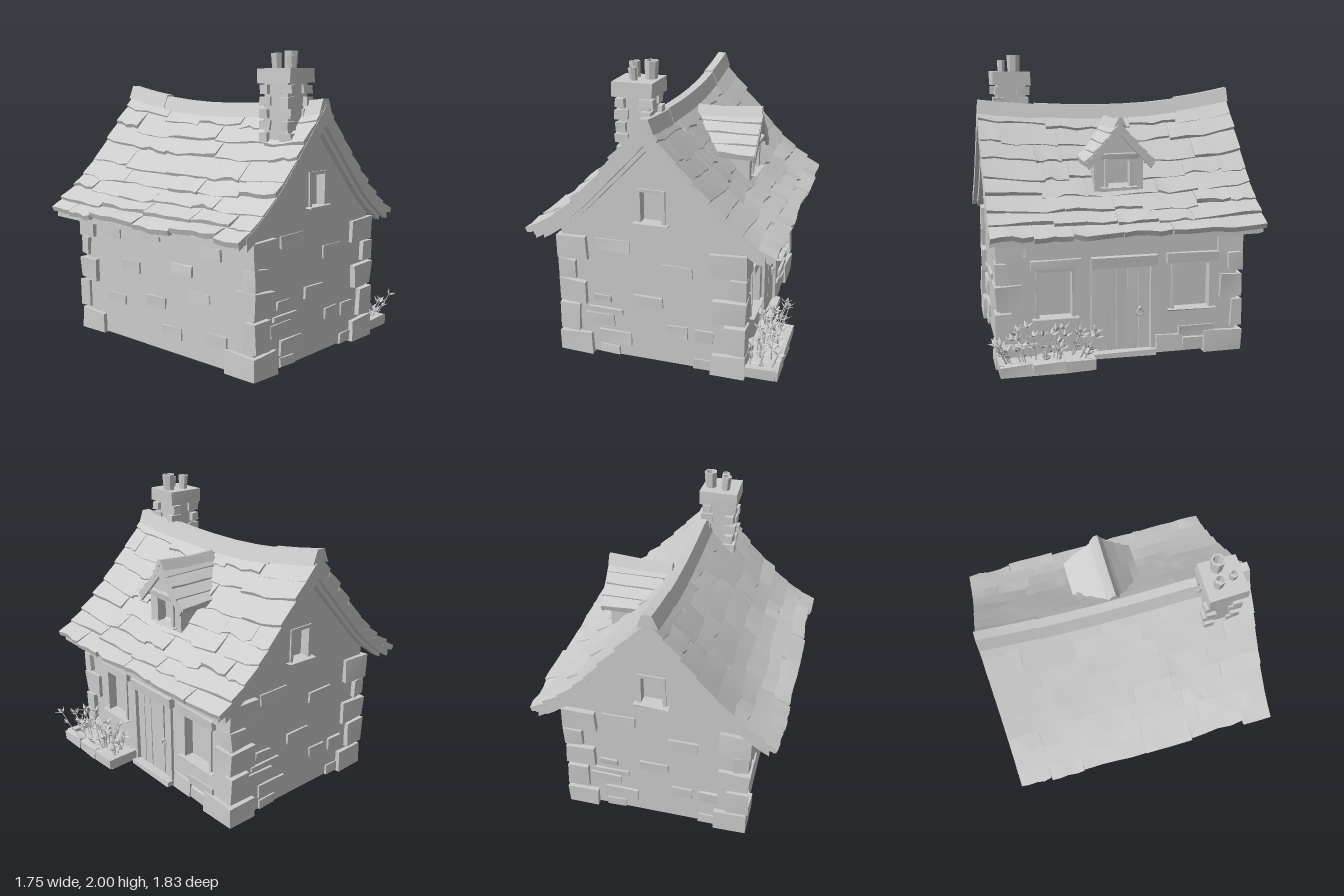
import * as THREE from 'three';
import { toCreasedNormals } from 'three/addons/utils/BufferGeometryUtils.js';

const stone = new THREE.MeshStandardMaterial({ color: 0xcccccc });
stone.name = 'pale grey';
const CX = -0.035, LEFT = -0.645, RIGHT = 0.575, FRONT = 0.8; // ridge line and wall planes

export function createModel() {
  const house = new THREE.Group();
  house.name = 'cottage';
  let seed = 7;
  const rnd = (a = 0, b = 1) => {
    seed = (seed * 16807) % 2147483647;
    return a + (b - a) * (seed / 2147483647);
  };
  const add = (geo, name, parent = house) => {
    const m = new THREE.Mesh(geo, stone);
    m.name = name;
    parent.add(m);
    return m;
  };
  const group = (name, parent = house) => {
    const g = new THREE.Group();
    g.name = name;
    parent.add(g);
    return g;
  };

  // Box given by its limits, corners nudged by j for a hand-cut look
  const block = (name, x0, x1, y0, y1, z0, z1, j = 0, parent = house) => {
    const g = new THREE.BoxGeometry(x1 - x0, y1 - y0, z1 - z0);
    g.translate((x0 + x1) / 2, (y0 + y1) / 2, (z0 + z1) / 2);
    const p = g.attributes.position, moved = {};
    for (let i = 0; i < p.count; i++) {
      const k = [p.getX(i), p.getY(i), p.getZ(i)].map(v => v.toFixed(4)).join();
      moved[k] ??= [rnd(-j, j), rnd(-j, j), rnd(-j, j)];
      const d = moved[k];
      p.setXYZ(i, p.getX(i) + d[0], Math.max(0, p.getY(i) + d[1]), p.getZ(i) + d[2]);
    }
    return add(toCreasedNormals(g.toNonIndexed(), 0.3), name, parent);
  };

  // Closed cross-sections [z, [[x, y], ...]] joined along rising z
  const loft = (stations) => {
    const flip = THREE.ShapeUtils.area(stations[0][1].map(q => new THREE.Vector2(...q))) < 0;
    const rings = stations.map(([z, pts]) => {
      const r = pts.map(q => [q[0], q[1], z]);
      return flip ? r.reverse() : r;
    });
    const n = rings[0].length, out = [];
    for (let s = 0; s < rings.length - 1; s++) for (let i = 0; i < n; i++) {
      const a = rings[s][i], b = rings[s][(i + 1) % n], c = rings[s + 1][(i + 1) % n], d = rings[s + 1][i];
      out.push(...a, ...b, ...c, ...a, ...c, ...d);
    }
    const last = rings[rings.length - 1];
    for (const [a, b, c] of THREE.ShapeUtils.triangulateShape(rings[0].map(q => new THREE.Vector2(q[0], q[1])), [])) {
      out.push(...rings[0][c], ...rings[0][b], ...rings[0][a], ...last[a], ...last[b], ...last[c]);
    }
    const g = new THREE.BufferGeometry();
    g.setAttribute('position', new THREE.Float32BufferAttribute(out, 3));
    return toCreasedNormals(g, 0.6);
  };

  // Swept roof curve: height against distance from the ridge, sagging along z
  const curve = [[0, 1.64], [0.1, 1.53], [0.2, 1.42], [0.3, 1.31], [0.42, 1.18], [0.54, 1.07], [0.68, 0.965], [0.83, 0.88]];
  const sag = z => -0.03 + (z < 0 ? 0.1 * (z / 0.92) ** 2 : 0.05 * (z / 0.87) ** 2);
  const roofY = (u, z) => {
    let i = 0;
    while (i < curve.length - 2 && u > curve[i + 1][0]) i++;
    const [a, b] = [curve[i], curve[i + 1]];
    return a[1] + (b[1] - a[1]) * (u - a[0]) / (b[0] - a[0]) + sag(z) * (1 - 0.9 * u / 0.83);
  };
  const arch = (uMax, top, bottom, z) => {
    const us = [];
    for (let i = -16; i <= 16; i++) us.push(i / 16 * uMax);
    const line = off => us.map(u => [CX + u, roofY(Math.abs(u), z) + off * (1 - 0.35 * Math.abs(u) / 0.83)]);
    return [z, [...line(top), ...line(bottom).reverse()]];
  };

  // Walls
  const rect = (x0, x1, y0, y1) => new THREE.Path([[x0, y0], [x1, y0], [x1, y1], [x0, y1]].map(q => new THREE.Vector2(...q)));
  const gable = new THREE.Shape();
  gable.moveTo(LEFT, 0.02).lineTo(RIGHT, 0.02);
  for (let i = 10; i >= -10; i--) gable.lineTo(CX + i * 0.061, roofY(Math.abs(i * 0.061), 0.8) - 0.045);
  gable.closePath();
  gable.holes.push(rect(-0.11, 0.075, 1.0, 1.23));
  for (const z of [-FRONT, FRONT - 0.08]) {
    const g = new THREE.ExtrudeGeometry(gable, { depth: 0.08, bevelEnabled: false });
    add(g.translate(0, 0, z), 'gableWall');
  }
  const side = new THREE.Shape([[-0.79, 0.02], [0.79, 0.02], [0.79, 0.96], [-0.79, 0.96]].map(q => new THREE.Vector2(...q)));
  side.holes.push(rect(-0.57, -0.32, 0.31, 0.64), rect(0.34, 0.62, 0.31, 0.64), rect(-0.2, 0.21, 0.05, 0.64));
  add(new THREE.ExtrudeGeometry(side, { depth: 0.08, bevelEnabled: false }).rotateY(Math.PI / 2).translate(RIGHT - 0.08, 0, 0), 'doorWall');
  block('plainWall', LEFT, LEFT + 0.08, 0.02, 0.96, -0.79, 0.79);
  block('floor', LEFT, RIGHT, 0.015, 0.03, -FRONT, FRONT);

  // Roof deck, edge boards and shingles
  const roof = group('roof');
  const zs = [-0.89, -0.7, -0.45, -0.2, 0, 0.25, 0.5, 0.7, 0.84];
  add(loft(zs.map(z => arch(0.79, -0.03, -0.1, z))), 'roofDeck', roof);
  for (const s of [-1, 1]) {
    const e = s > 0 ? 0.86 : -0.905;
    add(loft([arch(0.76, -0.01, -0.13, e - 0.015), arch(0.76, -0.01, -0.13, e + 0.015)]), 'edgeBoard', roof);
    add(loft([arch(0.72, -0.05, -0.17, e - s * 0.04 - 0.02), arch(0.72, -0.05, -0.17, e - s * 0.04 + 0.02)]), 'innerEdgeBoard', roof);
  }
  const rows = 8, step = 0.82 / rows;
  for (const s of [-1, 1]) for (let k = 0; k < rows; k++) {
    let z = -0.925;
    while (z < 0.86) {
      let end = z + rnd(0.16, 0.48);
      if (end > 0.76) end = 0.872;
      const lower = (k + 1) * step + rnd(-0.005, 0.025), lift = rnd(0.012, 0.035), st = [];
      for (let i = 0; i <= 4; i++) {
        const zz = z + (end - z) * i / 4;
        const u0 = Math.max(0, k * step - 0.015), u1 = Math.min(0.835, lower + rnd(-0.01, 0.01));
        const um = (u0 + u1) / 2, l = lift + rnd(-0.008, 0.008);
        const pt = (u, off) => [CX + s * u, roofY(u, zz) + off];
        st.push([zz, [pt(u0, -0.035), pt(u0, 0), pt(um, l * 0.6), pt(u1, l), pt(u1 - 0.012, l - 0.04), pt(um, -0.04)]]);
      }
      add(loft(st), 'shingle', roof);
      z = end + 0.002;
    }
  }
  // Ridge capping in overlapping lengths
  for (const [a, b, lift] of [[-0.925, -0.54, 0.02], [-0.54, 0.48, 0.008], [0.48, 0.87, 0]]) {
    const st = [];
    for (let i = 0; i <= 5; i++) {
      const z = a + (b - a) * i / 5, y = 1.64 + sag(z) + lift;
      st.push([z, [[CX - 0.07, y - 0.06], [CX - 0.03, y + 0.035], [CX + 0.03, y + 0.035], [CX + 0.065, y - 0.06], [CX, y - 0.04]]]);
    }
    add(loft(st), 'ridgeCap', roof);
  }

  // Window, facing +z with its sill at the local origin
  const makeWindow = (name, w, h, lintel, parent = house) => {
    const g = group(name, parent), b = 0.022;
    block('pane', -w / 2, w / 2, 0, h, -0.07, -0.055, 0, g);
    for (const s of [-1, 1]) {
      const x = s * (w / 2 - b / 2);
      block('windowJamb', x - b / 2, x + b / 2, 0, h, -0.06, 0.012, 0.002, g);
    }
    block('windowHead', -w / 2, w / 2, h - b, h, -0.06, 0.01, 0.002, g);
    block('sill', -w / 2 - 0.025, w / 2 + 0.025, -0.045, 0.005, -0.06, 0.04, 0.004, g);
    if (lintel) block('lintel', -w / 2 - 0.035, w / 2 + 0.035, h, h + lintel, -0.06, 0.035, 0.005, g);
    return g;
  };
  makeWindow('frontWindow', 0.185, 0.23, 0).position.set(-0.018, 1.0, FRONT);
  const rear = makeWindow('backWindow', 0.185, 0.23, 0);
  rear.position.set(-0.018, 1.0, -FRONT);
  rear.rotation.y = Math.PI;
  for (const [z, w] of [[0.445, 0.26], [-0.48, 0.29]]) {
    const g = makeWindow('sideWindow', w, 0.33, 0.06);
    g.position.set(RIGHT, 0.31, z);
    g.rotation.y = Math.PI / 2;
  }

  // Plank door
  const door = group('door');
  for (let i = 0; i < 5; i++) {
    const z = -0.19 + i * 0.076;
    block('doorPlank', RIGHT - 0.05, RIGHT - 0.005 + rnd(-0.008, 0.008), 0.05, 0.64, z, z + 0.073, 0.004, door);
  }
  for (const z of [-0.215, 0.19]) block('doorJamb', RIGHT - 0.06, RIGHT + 0.02, 0.04, 0.64, z, z + 0.022, 0.003, door);
  block('doorLintel', RIGHT - 0.05, RIGHT + 0.04, 0.625, 0.7, -0.235, 0.21, 0.006, door);
  block('doorStep', RIGHT - 0.05, RIGHT + 0.06, 0.025, 0.06, -0.22, 0.2, 0.004, door);
  add(new THREE.TorusGeometry(0.022, 0.006, 5, 10).rotateY(Math.PI / 2).translate(RIGHT + 0.012, 0.31, -0.12), 'doorRing', door);
  add(new THREE.SphereGeometry(0.014, 8, 6).translate(RIGHT + 0.012, 0.34, -0.12), 'doorKnob', door);

  // Corner stones: lower edge, upper edge, length along the gable, length along the side
  const corners = [[0, 0.15, 0.19, 0.24], [0.17, 0.36, 0.12, 0.07], [0.38, 0.54, 0.18, 0.15], [0.56, 0.69, 0.1, 0.07], [0.7, 0.86, 0.2, 0.14]];
  const stones = group('stones');
  for (const sx of [-1, 1]) for (const sz of [-1, 1]) for (const [y0, y1, lx, lz] of corners) {
    const x = (sx > 0 ? RIGHT : LEFT) + sx * 0.028, z = sz * (FRONT + 0.032);
    const xi = x - sx * (lx + rnd(0, 0.04)), zi = z - sz * (lz + rnd(0, 0.03));
    block('cornerStone', Math.min(x, xi), Math.max(x, xi), y0, y1, Math.min(z, zi), Math.max(z, zi), 0.009, stones);
  }
  // Loose bricks showing through the plaster
  const gableBricks = [[-0.4, -0.17, 0.78, 0.86], [0.05, 0.25, 0.65, 0.73], [-0.15, 0.05, 0.41, 0.49], [-0.43, -0.31, 0.4, 0.45],
    [-0.47, -0.23, 0.325, 0.36], [-0.5, -0.29, 0.235, 0.31], [-0.4, -0.17, 0.1, 0.195], [0.08, 0.22, 0.22, 0.3],
    [0.27, 0.39, 0.21, 0.3], [0.26, 0.38, 0.01, 0.08], [-0.4, -0.26, 0.02, 0.08]];
  for (const [a, b, y0, y1] of gableBricks) {
    block('brick', a, b, y0, y1, FRONT - 0.02, FRONT + 0.014, 0.005, stones);
    block('brick', -0.07 - b, -0.07 - a, y0, y1, -FRONT - 0.014, -FRONT + 0.02, 0.005, stones);
  }
  for (const [a, b, y0, y1] of [[-0.41, -0.23, 0.025, 0.14], [-0.64, -0.39, 0.13, 0.19], [-0.56, -0.42, 0.03, 0.11], [0.63, 0.74, 0.72, 0.8]])
    block('brick', RIGHT - 0.02, RIGHT + 0.018, y0, y1, a, b, 0.006, stones);
  for (const [z, y] of [[-0.5, 0.72], [-0.3, 0.5], [-0.45, 0.25], [-0.1, 0.75], [-0.05, 0.3], [0.1, 0.12], [0.2, 0.56], [0.35, 0.4], [0.45, 0.7], [0.5, 0.15]])
    block('brick', LEFT - 0.014, LEFT + 0.02, y, y + 0.075, z - 0.09, z + 0.09, 0.006, stones);

  // Chimney
  const chimney = group('chimney');
  block('chimneyStack', -0.24, -0.045, 1.3, 1.8, 0.54, 0.73, 0.004, chimney);
  for (let i = 0; i < 5; i++) for (const sx of [-1, 1]) for (const sz of [-1, 1]) {
    const x = -0.1425 + sx * 0.075, z = 0.635 + sz * 0.075, long = (i + (sx * sz > 0 ? 1 : 0)) % 2;
    const wx = long ? 0.045 : 0.03, wz = long ? 0.03 : 0.045, y = 1.42 + i * 0.076;
    block('chimneyBrick', x - wx + sx * 0.008, x + wx + sx * 0.008, y, y + 0.058, z - wz + sz * 0.008, z + wz + sz * 0.008, 0.004, chimney);
  }
  block('chimneyCap', -0.275, -0.01, 1.79, 1.885, 0.505, 0.765, 0.005, chimney);
  for (const [x, z, r, top, tilt] of [[-0.18, 0.59, 0.036, 1.98, 0.06], [-0.07, 0.615, 0.046, 1.995, -0.03], [-0.155, 0.69, 0.028, 1.96, 0.1]]) {
    const h = top - 1.87;
    const profile = [[r * 0.85, 0], [r, h], [r * 0.72, h], [r * 0.65, 0.03], [0.001, 0.03]].map(q => new THREE.Vector2(...q));
    const pot = add(toCreasedNormals(new THREE.LatheGeometry(profile, 7), 0.5), 'chimneyPot', chimney);
    pot.position.set(x, 1.87, z);
    pot.rotation.z = tilt;
  }

  // Dormer, built facing +z then turned towards +x
  const dormer = group('dormer');
  dormer.position.set(0, 0, -0.005);
  dormer.rotation.y = Math.PI / 2;
  const face = new THREE.Shape([[-0.165, 1.1], [0.165, 1.1], [0.165, 1.34], [0, 1.53], [-0.165, 1.34]].map(q => new THREE.Vector2(...q)));
  face.holes.push(rect(-0.1, 0.1, 1.13, 1.32));
  add(new THREE.ExtrudeGeometry(face, { depth: 0.08, bevelEnabled: false }).translate(0, 0, 0.375), 'dormerFace', dormer);
  for (const s of [-1, 1]) block('dormerCheek', s * 0.15 - 0.014, s * 0.15 + 0.014, 1.1, 1.36, 0.15, 0.45, 0, dormer);
  makeWindow('dormerWindow', 0.19, 0.19, 0.038, dormer).position.set(0, 1.135, 0.455);
  const dY = u => 1.56 - 1.25 * u + 0.8 * u * u;
  for (const s of [-1, 1]) {
    add(loft([0.485, 0.505].map(z => [z, [[0, 1.545], [s * 0.23, dY(0.23) - 0.015], [s * 0.21, dY(0.23) - 0.055], [0, 1.48]]])), 'dormerEdgeBoard', dormer);
    for (let k = 0; k < 4; k++) {
      const u0 = k * 0.058, u1 = u0 + 0.066, back = 0.06 + k * 0.042, st = [];
      for (let i = 0; i <= 3; i++) {
        const z = back + (0.5 + rnd(-0.012, 0.008) - back) * i / 3, j = rnd(0.008, 0.022);
        st.push([z, [[s * u0, dY(u0) - 0.03], [s * u0, dY(u0)], [s * u1, dY(u1) + j], [s * (u1 - 0.01), dY(u1) - 0.025]]]);
      }
      add(loft(st), 'dormerShingle', dormer);
    }
  }
  add(loft([[0.05, 1.56], [0.25, 1.555], [0.5, 1.575]].map(([z, y]) => [z, [[-0.045, y - 0.045], [-0.012, y + 0.02], [0.012, y + 0.02], [0.045, y - 0.045], [0, y - 0.02]]])), 'dormerRidge', dormer);

  // Planter with leafy flowers
  const planter = group('planter');
  block('soil', 0.56, 0.8, 0.03, 0.075, 0.24, 0.82, 0.003, planter);
  for (let i = 0; i < 3; i++) block('planterStone', 0.77, 0.82, 0.025, 0.1, 0.225 + i * 0.203, 0.425 + i * 0.203, 0.006, planter);
  for (const z of [0.225, 0.79]) block('planterEnd', 0.57, 0.8, 0.025, 0.1, z, z + 0.045, 0.006, planter);
  const leafGeo = toCreasedNormals(new THREE.OctahedronGeometry(1, 0).scale(0.011, 0.034, 0.004).translate(0, 0.026, 0), 0.2);
  const stemGeo = new THREE.CylinderGeometry(0.003, 0.004, 1, 4).translate(0, 0.5, 0);
  for (let i = 0; i < 30; i++) {
    const plant = group('plant', planter), h = rnd(0.05, 0.22);
    plant.position.set(rnd(0.62, 0.77), 0.07, rnd(0.28, 0.79));
    plant.rotation.set((plant.position.z - 0.53) * 1.7, 0, rnd(-0.4, 0.1));
    add(stemGeo, 'stem', plant).scale.y = h;
    for (let k = 0; k < 6; k++) {
      const leaf = add(leafGeo, 'leaf', plant);
      leaf.position.y = k < 4 ? h : h * 0.5;
      leaf.rotation.set(rnd(0.5, 1.2), k * 1.57 + rnd(-0.4, 0.4), 0, 'YXZ');
    }
  }
  return house;
}
